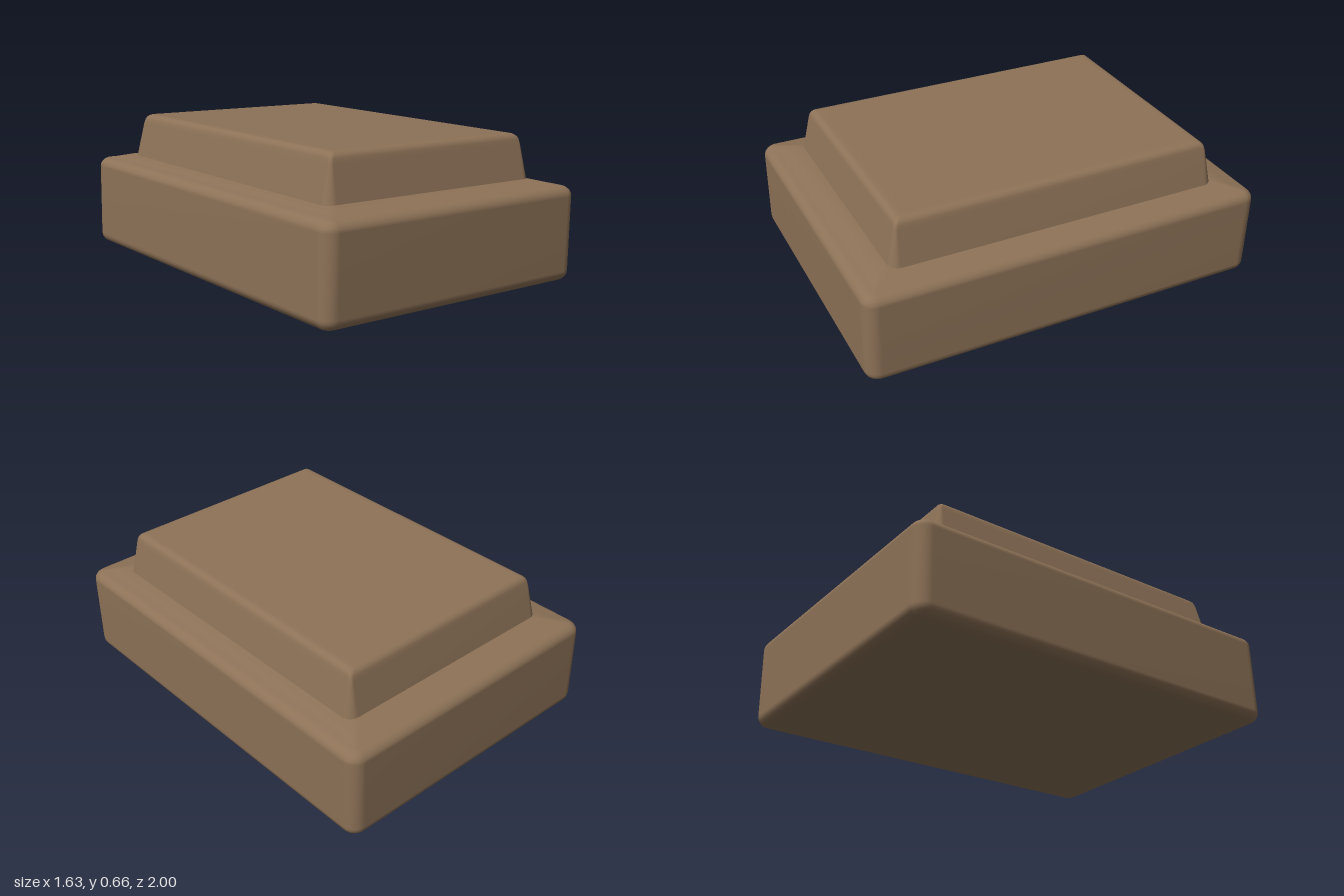
import * as THREE from 'three';

const material = new THREE.MeshStandardMaterial({ color: 0x8d7257 });
const CORNER_STEPS = 6;

// Rounded rectangle with half sizes a, b and corner radius r, as [x, z] points
function roundedRect(a, b, r) {
  const points = [];
  for (let q = 0; q < 4; q++) {
    const sx = q === 0 || q === 3 ? 1 : -1;
    const sz = q < 2 ? 1 : -1;
    for (let i = 0; i <= CORNER_STEPS; i++) {
      const t = (q + i / CORNER_STEPS) * Math.PI / 2;
      points.push([sx * (a - r) + r * Math.cos(t), sz * (b - r) + r * Math.sin(t)]);
    }
  }
  return points;
}

// Stacks rounded rectangles along a profile of [inset, y], capped at both ends
function loft(name, a, b, radius, profile) {
  const positions = [], index = [];
  const n = 4 * (CORNER_STEPS + 1);
  for (const [inset, y] of profile) {
    const r = Math.max(radius - inset, 0.015);
    for (const [x, z] of roundedRect(a - inset, b - inset, r)) positions.push(x, y, z);
  }
  const last = (profile.length - 1) * n;
  const bottom = profile.length * n, top = bottom + 1;
  positions.push(0, profile[0][1], 0, 0, profile[profile.length - 1][1], 0);
  for (let i = 0; i < n; i++) {
    const j = (i + 1) % n;
    for (let k = 0; k < last; k += n) {
      index.push(k + i, k + n + i, k + j, k + j, k + n + i, k + n + j);
    }
    index.push(bottom, i, j, top, last + j, last + i);
  }
  const geometry = new THREE.BufferGeometry();
  geometry.setAttribute('position', new THREE.Float32BufferAttribute(positions, 3));
  geometry.setIndex(index);
  geometry.computeVertexNormals();
  const mesh = new THREE.Mesh(geometry, material);
  mesh.name = name;
  return mesh;
}

// Quarter-round profile points between a wall and a horizontal face
function roundEdge(inset, y, width, height, fromWall) {
  const points = [];
  for (let i = 0; i <= 5; i++) {
    const t = i / 5 * Math.PI / 2;
    points.push([inset + width * (1 - Math.cos(t)), y + height * Math.sin(t)]);
  }
  return fromWall ? points : points.reverse();
}

export function createModel() {
  // Lower block with softened edges and a ledge rising gently inwards
  const base = loft('base', 0.664, 0.9025, 0.06, [
    [0.08, 0.02],
    ...roundEdge(0, 0.065, 0.045, -0.045, false),
    ...roundEdge(0, 0.385, 0.05, 0.043, true),
    [0.075, 0.434],
    [0.125, 0.447],
    [0.17, 0.45],
  ]);

  // Raised block with sloping sides
  const raisedTop = loft('raisedTop', 0.542, 0.749, 0.045, [
    [-0.005, 0.42],
    [0, 0.445],
    [0.032, 0.595],
    ...roundEdge(0.035, 0.605, 0.033, 0.035, true).slice(1),
    [0.09, 0.64],
  ]);

  // The whole piece is turned in plan and leans very slightly
  const turned = new THREE.Group();
  turned.name = 'block';
  turned.rotation.y = -0.187;
  turned.add(base, raisedTop);

  const model = new THREE.Group();
  const lean = new THREE.Group();
  lean.name = 'leaningBlock';
  lean.rotation.set(-0.0035, 0, -0.023);
  lean.position.x = -0.005;
  lean.add(turned);
  model.add(lean);
  return model;
}
